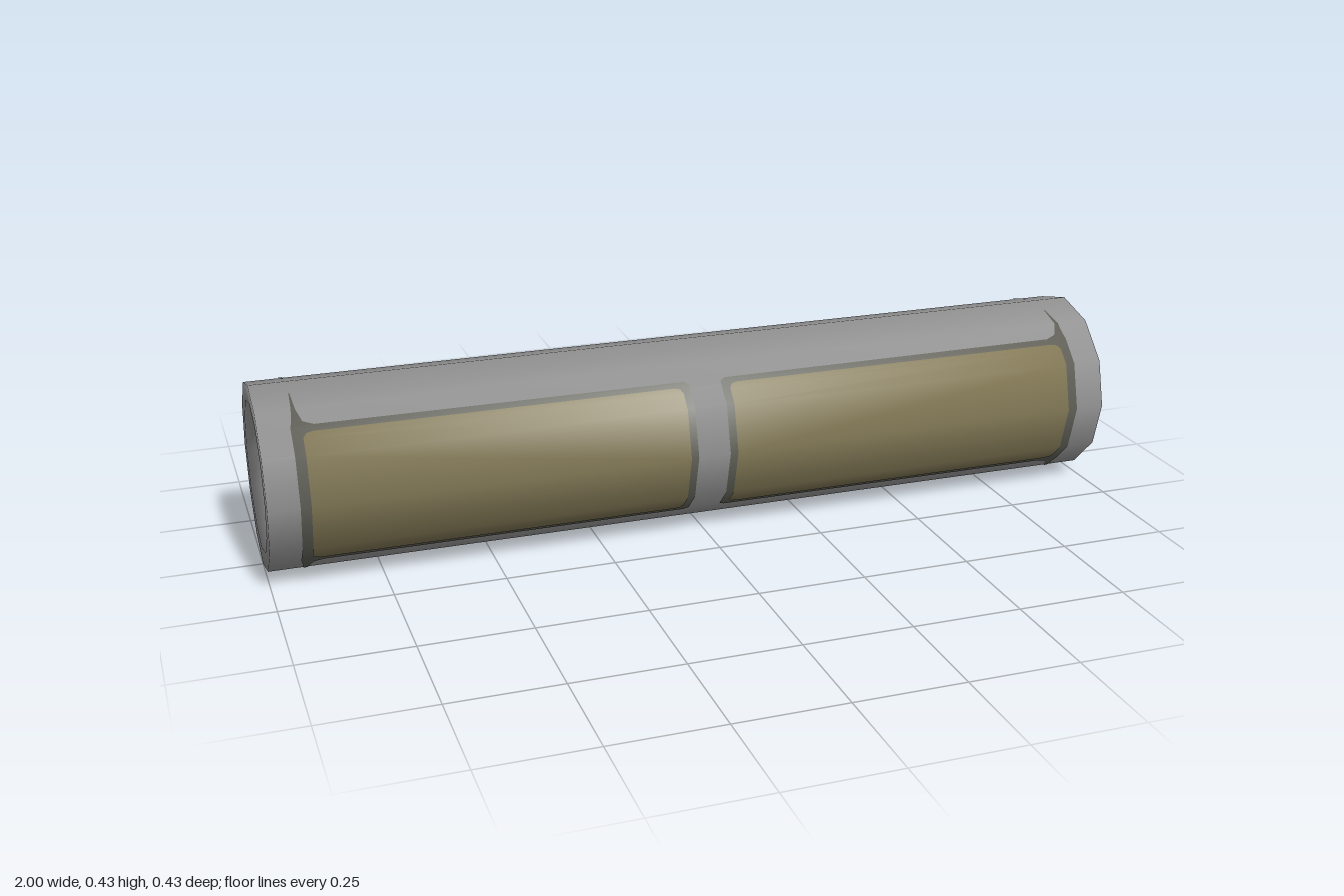
import * as THREE from 'three';

const R = 0.213;      // corner radius of the twelve-sided barrel
const TILT = 0.6;     // how far the soft normals lean outward at the ends
const rad = THREE.MathUtils.degToRad;

// Radius of the twelve-sided outline at an angle (degrees from the top)
const outline = (t) => R * Math.cos(rad(15)) / Math.cos(rad((t % 30) - 15));

// Skin between rows of points; each point is [x, angle, radius, normalX, normalRadial]
function skin(rows, sx = 1, sz = 1) {
  const pos = [], nor = [], idx = [], n = rows[0].length;
  for (const row of rows) {
    for (const [x, t, r, nx, nr] of row) {
      const c = Math.cos(rad(t)), s = Math.sin(rad(t)) * sz;
      pos.push(x * sx, R + r * c, r * s);
      const v = new THREE.Vector3(nx * sx, nr * c, nr * s).normalize();
      nor.push(v.x, v.y, v.z);
    }
  }
  for (let i = 0; i < rows.length - 1; i++) {
    for (let j = 0; j < n - 1; j++) {
      const a = i * n + j, b = a + n, c = a + 1, d = b + 1;
      if (sx * sz > 0) idx.push(a, b, c, b, d, c);
      else idx.push(a, c, b, b, c, d);
    }
  }
  const g = new THREE.BufferGeometry();
  g.setAttribute('position', new THREE.Float32BufferAttribute(pos, 3));
  g.setAttribute('normal', new THREE.Float32BufferAttribute(nor, 3));
  g.setIndex(idx);
  return g;
}

// Thin plate wrapped on the barrel; rows are [angle, inner x, outer x]
function plate(rows, lift, sx, sz) {
  return skin(rows.map(([t, x0, x1]) =>
    [x0, x1].map((x) => [x, t, outline(t) + lift, TILT * x, 1])), sx, sz);
}

// Complete a half outline (top to middle) with its mirror below
const mirrorRows = (top) => [...top, [90, top.at(-1)[1], top.at(-1)[2]],
  ...top.map(([t, a, b]) => [180 - t, a, b]).reverse()];

export function createModel() {
  const group = new THREE.Group();
  const material = (name, color) => {
    const m = new THREE.MeshStandardMaterial({ color });
    m.name = name;
    return m;
  };
  const grey = material('metal grey', 0x989898);
  const olive = material('panel olive', 0x847a57);
  const edge = material('panel edge', 0x62625a);
  const black = material('end black', 0x242424);

  const add = (name, geometry, mat) => {
    const mesh = new THREE.Mesh(geometry, mat);
    mesh.name = name;
    group.add(mesh);
    return mesh;
  };

  // Barrel with a shallow dish in each end: [x, radius, normalX, normalRadial]
  const half = [
    [1, R, TILT, 1], [1, R, 0.75, 0.65], [1, 0.172, 1, -0.1],
    [0.97, 0.153, 0.85, -0.5], [0.97, 0.12, 1, 0],
  ];
  const profile = [...half.map(([x, r, nx, nr]) => [-x, r, -nx, nr]).reverse(), ...half];
  const rings = [];
  for (let i = 0; i <= 12; i++) {
    rings.push(profile.map(([x, r, nx, nr]) => [x, i * 30, r, nx, nr]));
  }
  add('barrel', skin(rings), grey);

  // Dark discs in the ends
  for (const side of [1, -1]) {
    const disc = add(side > 0 ? 'leftEndDisc' : 'rightEndDisc', new THREE.CircleGeometry(0.146, 36), black);
    disc.position.set(side * 0.973, R, 0);
    disc.rotation.y = side * Math.PI / 2;
  }

  // Four wrapped panels, each with a darker edge that tapers to points at the outer corners
  const edgeRows = mirrorRows([
    [13, 0.917, 0.919], [30, 0.914, 0.923], [38, 0.903, 0.927], [40.5, 0.88, 0.929],
    [41, 0.05, 0.93], [43, 0.038, 0.93], [60, 0.038, 0.93],
  ]);
  const panelRows = mirrorRows([
    [45, 0.075, 0.885], [46, 0.062, 0.9], [49, 0.056, 0.907], [60, 0.056, 0.907],
  ]);
  for (const sx of [1, -1]) {
    for (const sz of [1, -1]) {
      const where = (sz > 0 ? 'front' : 'back') + (sx > 0 ? 'Left' : 'Right');
      add(where + 'PanelEdge', plate(edgeRows, 0.0015, sx, sz), edge);
      add(where + 'Panel', plate(panelRows, 0.003, sx, sz), olive);
    }
  }
  return group;
}
